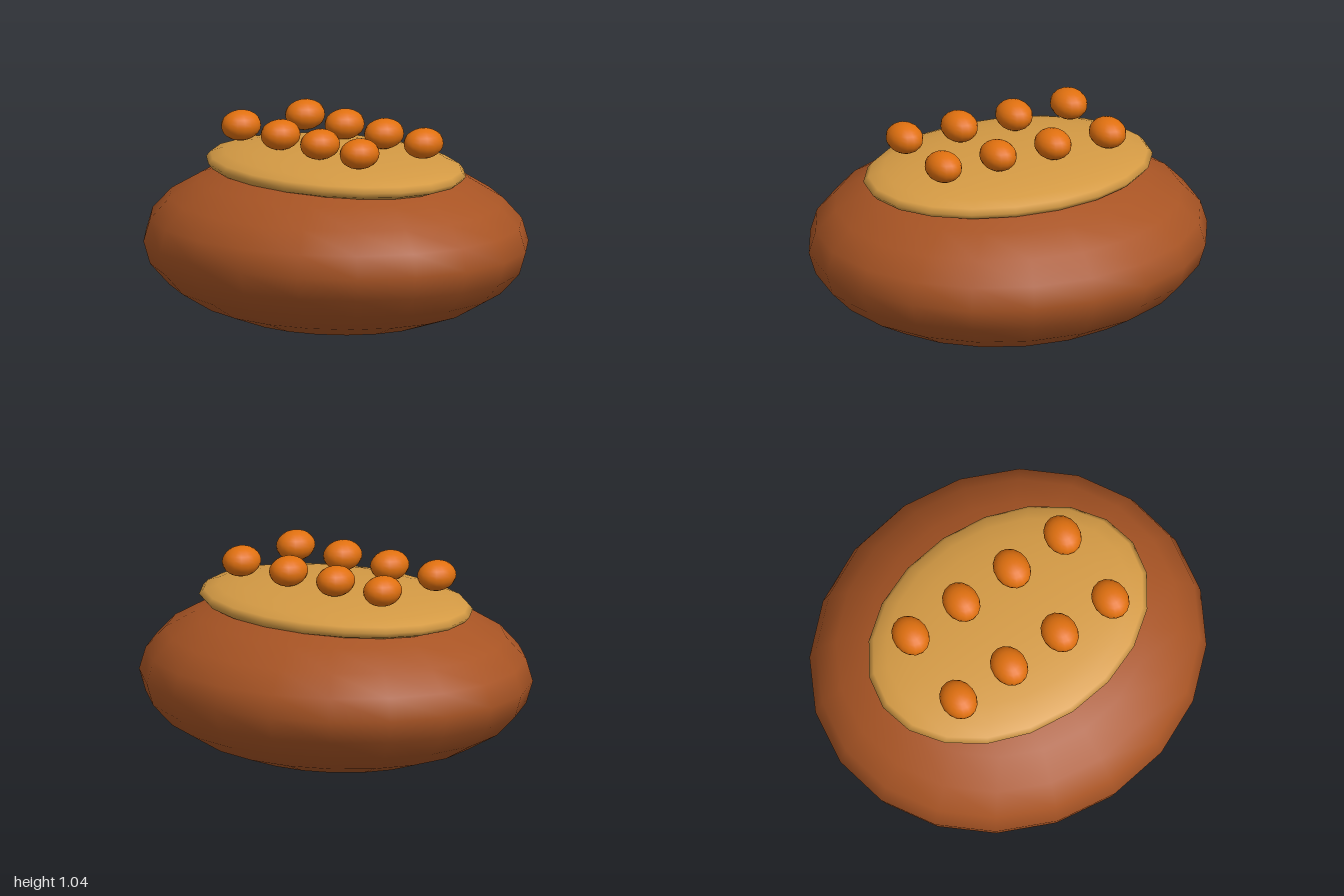
import * as THREE from 'three';

const crustMaterial = new THREE.MeshStandardMaterial({ color: 0xa85424 });
crustMaterial.name = 'brown crust';
const toppingMaterial = new THREE.MeshStandardMaterial({ color: 0xd49a44 });
toppingMaterial.name = 'golden topping';
const berryMaterial = new THREE.MeshStandardMaterial({ color: 0xe0700f });
berryMaterial.name = 'orange berry';

// Smooth ellipsoid with baked radii, placed at a position
function ellipsoid(name, material, radii, position, segments = 20, rings = 12) {
  const geometry = new THREE.SphereGeometry(1, segments, rings);
  geometry.scale(...radii);
  const mesh = new THREE.Mesh(geometry, material);
  mesh.name = name;
  mesh.position.set(...position);
  return mesh;
}

export function createModel() {
  const model = new THREE.Group();
  model.name = 'filledBun';

  // Wide rounded body and the flat oval layer resting on it
  model.add(ellipsoid('body', crustMaterial, [1, 0.43, 0.905], [0, 0.43, 0]));
  model.add(ellipsoid('topping', toppingMaterial, [0.745, 0.1, 0.55], [0, 0.8, 0]));

  // Two rows of four berries
  const berries = new THREE.Group();
  berries.name = 'berries';
  for (const z of [-0.18, 0.225]) {
    for (let i = 0; i < 4; i++) {
      const x = -0.454 + i * 0.302;
      berries.add(ellipsoid('berry', berryMaterial, [0.088, 0.075, 0.105], [x, 0.963, z], 16, 12));
    }
  }
  model.add(berries);
  return model;
}
